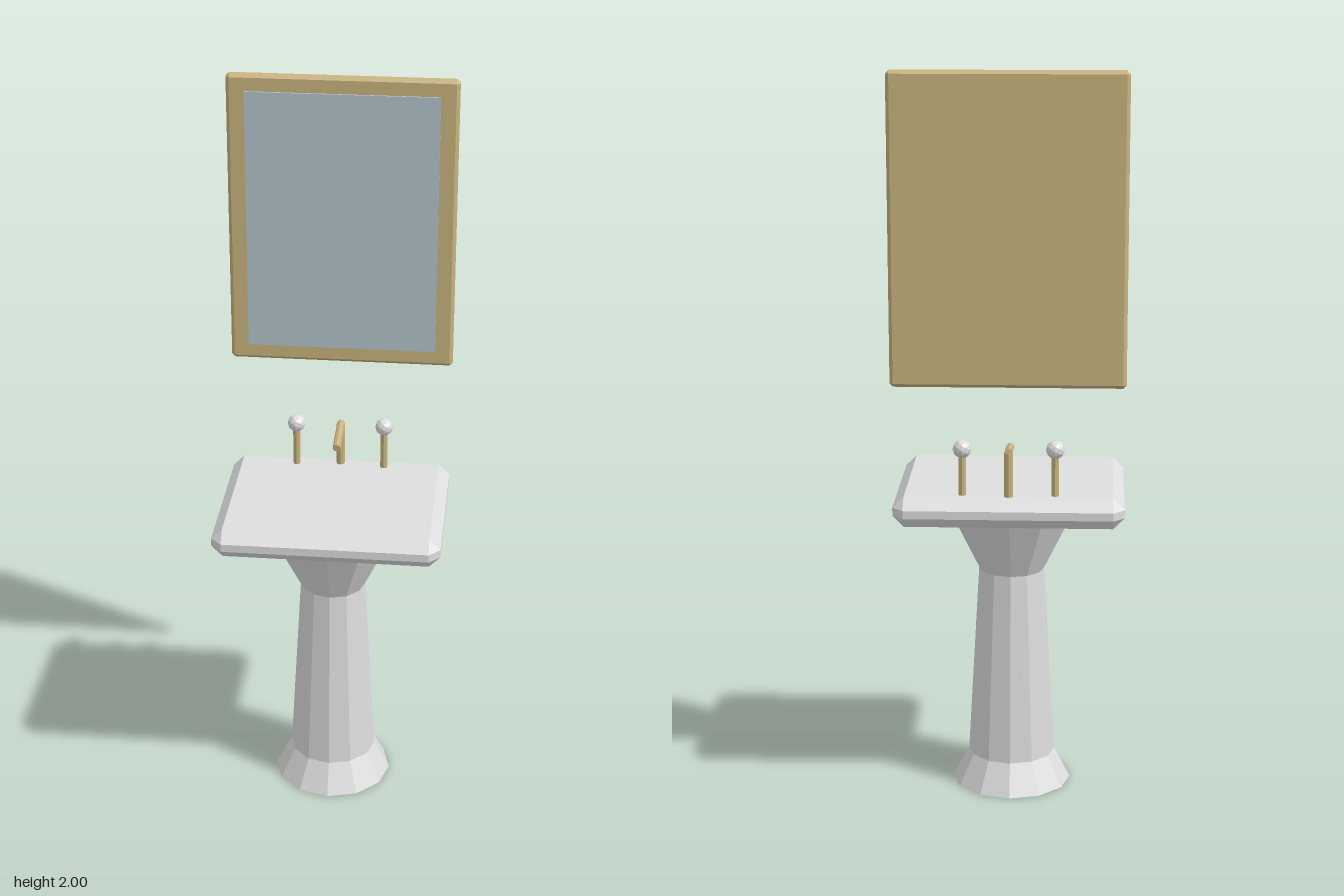
import * as THREE from 'three';
import { ConvexGeometry } from 'three/addons/geometries/ConvexGeometry.js';

const flat = (name, color) => {
  const m = new THREE.MeshStandardMaterial({ color, flatShading: true });
  m.name = name;
  return m;
};

// Box with every edge and corner chamfered by c
function chamferBox(w, h, d, c) {
  const points = [];
  for (const sx of [-1, 1]) for (const sy of [-1, 1]) for (const sz of [-1, 1]) {
    const [x, y, z] = [sx * w / 2, sy * h / 2, sz * d / 2];
    const [ix, iy, iz] = [x - sx * c, y - sy * c, z - sz * c];
    points.push(new THREE.Vector3(x, iy, iz), new THREE.Vector3(ix, y, iz), new THREE.Vector3(ix, iy, z));
  }
  return new ConvexGeometry(points);
}

export function createModel() {
  const ceramic = flat('white ceramic', 0xdedede);
  const brass = flat('brass', 0xcab47e);
  const glass = flat('mirror glass', 0xb2c4cc);
  const group = new THREE.Group();
  group.name = 'pedestal sink with mirror';

  const add = (name, geometry, material, x, y, z) => {
    const mesh = new THREE.Mesh(geometry, material);
    mesh.name = name;
    mesh.position.set(x, y, z);
    group.add(mesh);
    return mesh;
  };

  // Pedestal: flared foot, tapering column and widening neck
  const profile = [[0, 0], [0.164, 0], [0.12, 0.085], [0.09, 0.62], [0.182, 0.805], [0, 0.805]]
    .map(([r, y]) => new THREE.Vector2(r, y));
  add('pedestal', new THREE.LatheGeometry(profile, 12), ceramic, 0, 0, 0.012);

  // Basin slab
  add('basin', chamferBox(0.614, 0.082, 0.49, 0.03), ceramic, 0, 0.843, 0);

  // Two taps with faceted knobs
  for (const [side, s] of [['left', 1], ['right', -1]]) {
    add(side + 'TapStem', new THREE.CylinderGeometry(0.01, 0.01, 0.125, 8), brass, s * 0.123, 0.9425, -0.187);
    add(side + 'TapKnob', new THREE.IcosahedronGeometry(0.025, 1), ceramic, s * 0.123, 1.01, -0.187);
  }

  // Spout: upright and forward arm dipping slightly
  add('spoutUpright', new THREE.CylinderGeometry(0.012, 0.012, 0.125, 8), brass, 0, 0.9425, -0.2);
  const from = new THREE.Vector3(0, 1.006, -0.208);
  const to = new THREE.Vector3(0, 0.989, -0.083);
  const dir = to.clone().sub(from);
  const mid = from.clone().add(to).multiplyScalar(0.5);
  const arm = add('spoutArm', new THREE.CylinderGeometry(0.011, 0.011, dir.length(), 8), brass, mid.x, mid.y, mid.z);
  arm.quaternion.setFromUnitVectors(new THREE.Vector3(0, 1, 0), dir.normalize());

  // Wall mirror: chamfered frame with a thin pane in front
  add('mirrorFrame', chamferBox(0.614, 0.812, 0.028, 0.009), brass, 0, 1.594, -0.232);
  add('mirrorPane', new THREE.BoxGeometry(0.516, 0.722, 0.008), glass, 0, 1.594, -0.217);

  return group;
}
